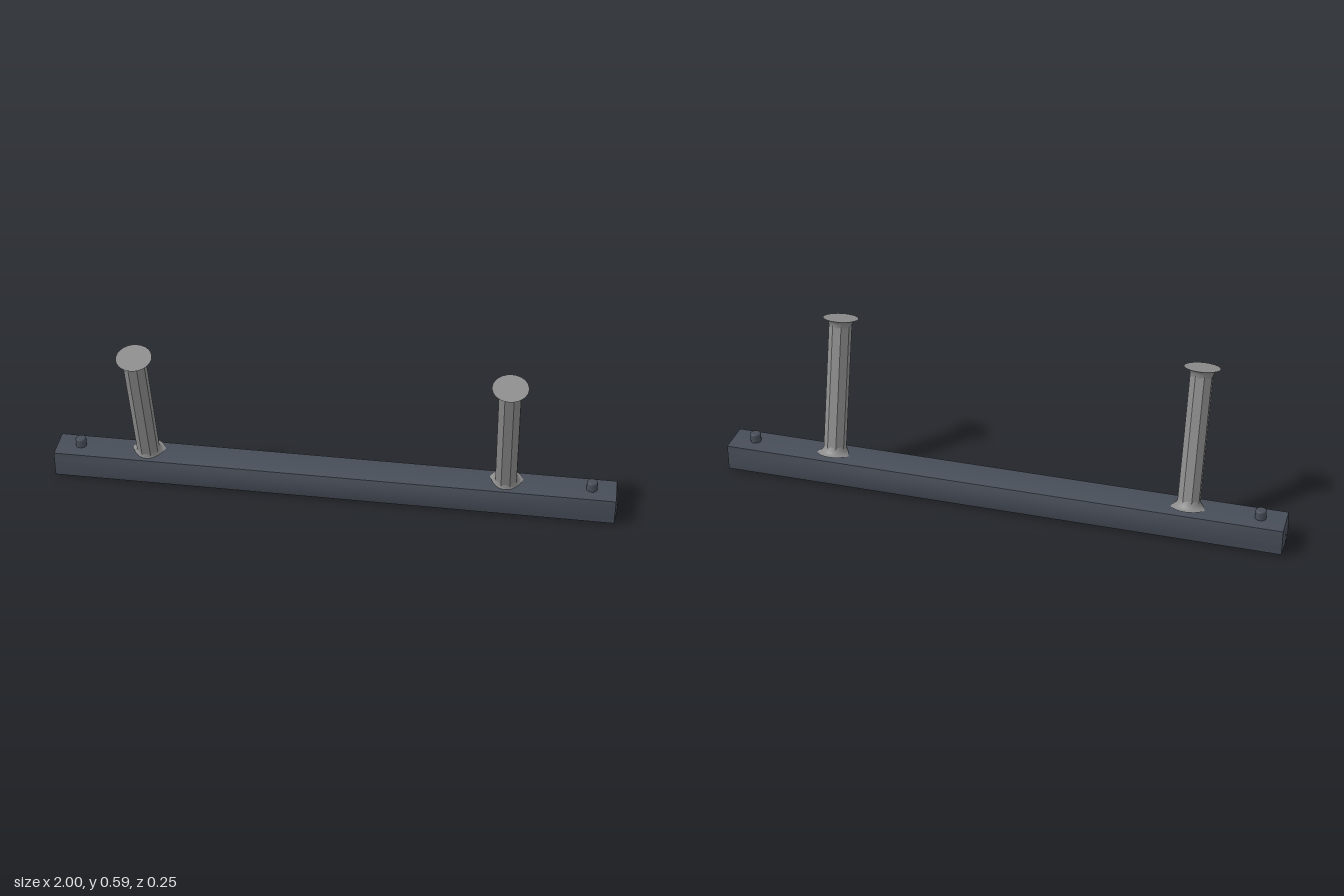
import * as THREE from 'three';

const barPaint = new THREE.MeshStandardMaterial({ color: 0x474d58 });
barPaint.name = 'dark slate';
const steel = new THREE.MeshStandardMaterial({ color: 0x8c8c8c });
steel.name = 'grey steel';

const BAR_Z = -0.0575;
const v2 = (pairs) => pairs.map(([x, y]) => new THREE.Vector2(x, y));

function part(name, geometry, material) {
  const mesh = new THREE.Mesh(geometry, material);
  mesh.name = name;
  return mesh;
}

// Box whose six faces bulge gently while its edges stay straight and sharp
function bulgedBar() {
  const half = [0.993, 0.0465, 0.0605];
  const bulge = [0.007, 0.007, 0.008];
  const geo = new THREE.BoxGeometry(half[0] * 2, half[1] * 2, half[2] * 2, 9, 4, 4);
  const pos = geo.attributes.position;
  const normal = geo.attributes.normal;
  const swell = (t) => 1 - t ** 4;
  for (let i = 0; i < pos.count; i++) {
    const p = [pos.getX(i), pos.getY(i), pos.getZ(i)];
    const n = [normal.getX(i), normal.getY(i), normal.getZ(i)];
    const axis = n.findIndex((c) => Math.abs(c) > 0.5);
    let amount = bulge[axis];
    for (let k = 0; k < 3; k++) if (k !== axis) amount *= swell(p[k] / half[k]);
    p[axis] += Math.sign(n[axis]) * amount;
    pos.setXYZ(i, ...p);
  }
  geo.computeVertexNormals();
  return geo;
}

// Leaning eight-sided post with a flared round flange at each end
function makePost(x) {
  const length = 0.492;
  const post = new THREE.Group();
  post.name = x > 0 ? 'leftPost' : 'rightPost';

  const shaftGeo = new THREE.CylinderGeometry(0.04, 0.04, length - 0.02, 8, 1, true, Math.PI / 8)
    .toNonIndexed();
  shaftGeo.computeVertexNormals();
  const shaft = part('shaft', shaftGeo, steel);
  shaft.position.y = length / 2;
  post.add(shaft);

  const flare = v2([[0.0615, 0], [0.052, 0.004], [0.045, 0.01], [0.041, 0.018], [0.037, 0.03]]);
  for (const top of [false, true]) {
    const flange = new THREE.Group();
    flange.name = top ? 'topFlange' : 'bottomFlange';
    flange.add(part('flare', new THREE.LatheGeometry(flare, 24), steel));
    const face = part('flangeFace', new THREE.CircleGeometry(0.0615, 24), steel);
    face.rotation.x = Math.PI / 2;
    flange.add(face);
    if (top) {
      flange.position.y = length;
      flange.rotation.x = Math.PI;
    }
    post.add(flange);
  }

  post.position.set(x, 0.102, -0.055);
  post.rotation.x = THREE.MathUtils.degToRad(14.5);
  return post;
}

export function createModel() {
  const model = new THREE.Group();
  model.name = 'postedBar';

  const bar = part('bar', bulgedBar(), barPaint);
  bar.position.set(0, 0.0545, BAR_Z);
  model.add(bar);

  for (const x of [-0.66, 0.61]) model.add(makePost(x));

  // Small round-topped pegs near the bar ends
  const pegProfile = v2([[0.019, 0], [0.019, 0.03], [0.018, 0.034], [0.015, 0.036], [0, 0.036]]);
  for (const side of [-1, 1]) {
    const peg = part(side > 0 ? 'leftPeg' : 'rightPeg', new THREE.LatheGeometry(pegProfile, 16), barPaint);
    peg.position.set(side * 0.907, 0.1, BAR_Z);
    model.add(peg);
  }
  return model;
}
